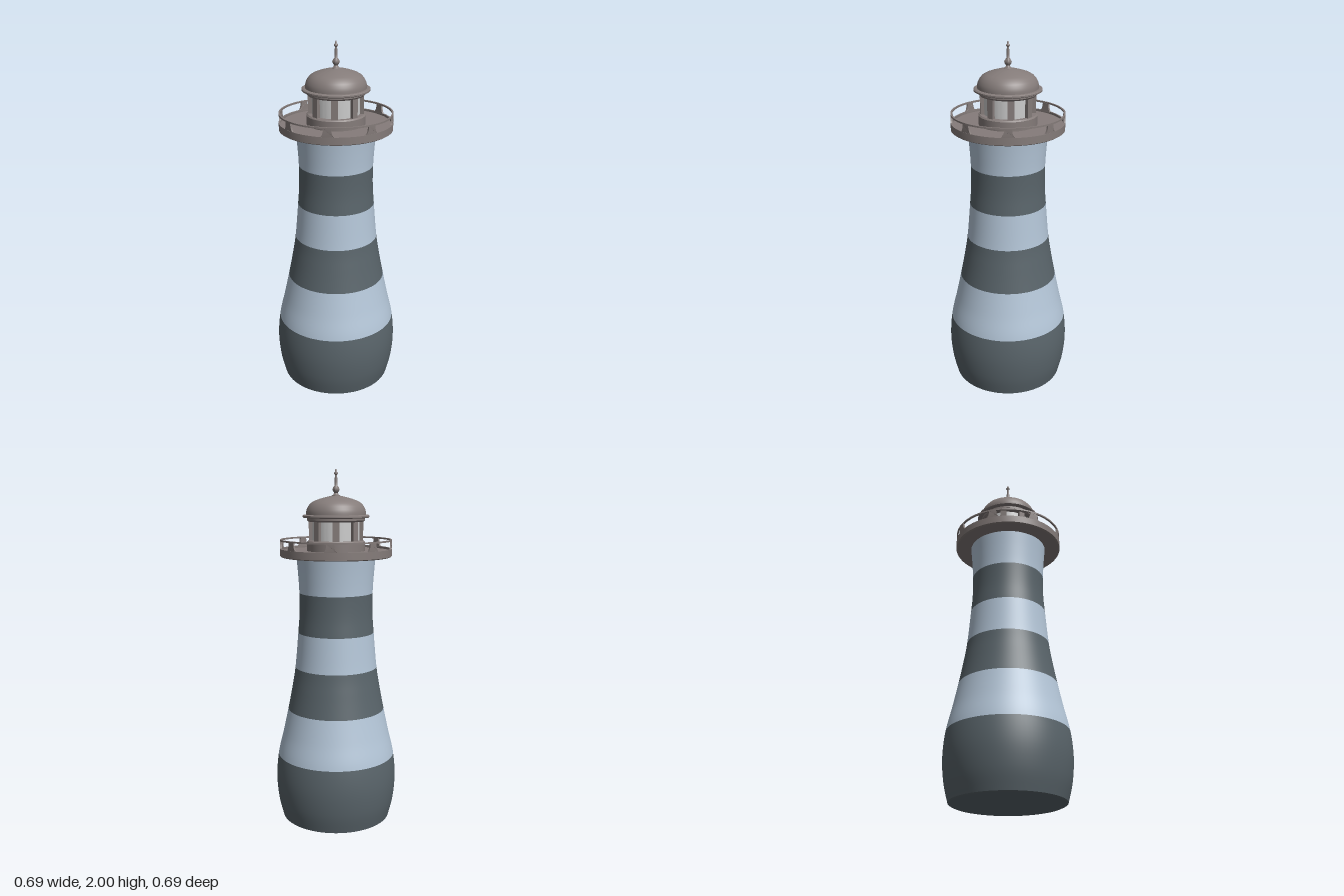
import * as THREE from 'three';
import { toCreasedNormals } from 'three/addons/utils/BufferGeometryUtils.js';

const paint = (color, side = THREE.FrontSide) => new THREE.MeshStandardMaterial({ color, side });
const dark = paint(0x59646a);
const light = paint(0xb4c6d8);
const metal = paint(0x857c7a);
const glass = paint(0xcccccc);

const SEGMENTS = 80;
const pts = (list) => list.map(([r, y]) => new THREE.Vector2(r, y));

// Turned part: profile of [radius, height] listed so that faces point outward
function turned(name, profile, material, crease = 0.5) {
  const geometry = toCreasedNormals(new THREE.LatheGeometry(pts(profile), SEGMENTS), crease);
  const mesh = new THREE.Mesh(geometry, material);
  mesh.name = name;
  return mesh;
}

// Wraps a flat extrusion (x = arc length, z = depth) around the y axis
function wrapped(name, shape, depth, radius, angle, material) {
  let geometry = new THREE.ExtrudeGeometry(shape, { depth, bevelEnabled: false });
  const p = geometry.attributes.position;
  for (let i = 0; i < p.count; i++) {
    const a = angle + p.getX(i) / radius;
    const r = radius - depth + p.getZ(i);
    p.setXYZ(i, r * Math.sin(a), p.getY(i), r * Math.cos(a));
  }
  geometry = toCreasedNormals(geometry, 0.4);
  const mesh = new THREE.Mesh(geometry, material);
  mesh.name = name;
  return mesh;
}

function createTower() {
  const tower = new THREE.Group();
  tower.name = 'tower';
  // Control points; indices in "edges" are the stripe borders
  const outline = new THREE.SplineCurve(pts([
    [0.312, 0.012], [0.337, 0.12], [0.347, 0.25], [0.335, 0.385], [0.304, 0.52], [0.275, 0.655],
    [0.251, 0.78], [0.232, 0.9], [0.214, 1.1], [0.206, 1.21], [0.206, 1.325], [0.212, 1.43], [0.221, 1.53],
  ]));
  const edges = [0, 3, 5, 7, 8, 10, 12];
  const last = outline.points.length - 1;
  for (let band = 0; band < 6; band++) {
    const profile = [];
    for (let i = 0; i <= 14; i++) {
      const t = (edges[band] + (edges[band + 1] - edges[band]) * i / 14) / last;
      const v = outline.getPoint(t);
      profile.push([v.x, v.y]);
    }
    tower.add(turned('stripe' + (band + 1), profile, band % 2 ? light : dark));
  }
  // Slightly domed underside
  tower.add(turned('towerUnderside', [[0, 0], [0.12, 0], [0.3, 0.006], [0.312, 0.012]], dark));
  return tower;
}

function createGallery() {
  const gallery = new THREE.Group();
  gallery.name = 'gallery';
  // Deck with a low raised rim
  gallery.add(turned('deck', [
    [0, 1.525], [0.302, 1.525], [0.31, 1.53], [0.31, 1.57], [0.301, 1.57], [0.301, 1.558], [0, 1.558],
  ], metal));
  gallery.add(turned('handrail', [
    [0.301, 1.612], [0.31, 1.612], [0.31, 1.621], [0.301, 1.621], [0.301, 1.612],
  ], metal));

  // Flared railing posts
  const post = new THREE.Shape();
  post.moveTo(-0.04, 1.565);
  post.lineTo(0.04, 1.565);
  post.quadraticCurveTo(0.022, 1.578, 0.02, 1.615);
  post.lineTo(-0.02, 1.615);
  post.quadraticCurveTo(-0.022, 1.578, -0.04, 1.565);
  for (let i = 0; i < 8; i++) {
    const angle = -0.1 + i * Math.PI / 4;
    gallery.add(wrapped('railingPost' + (i + 1), post, 0.01, 0.31, angle, metal));
  }
  return gallery;
}

function createLantern() {
  const lantern = new THREE.Group();
  lantern.name = 'lanternRoom';
  lantern.add(turned('lanternBase', [
    [0.16, 1.555], [0.16, 1.608], [0.153, 1.615], [0.12, 1.615],
  ], metal));
  lantern.add(turned('glazing', [[0.13, 1.61], [0.13, 1.73]], glass));
  lantern.add(turned('lanternHeader', [
    [0.125, 1.718], [0.153, 1.718], [0.16, 1.726], [0.16, 1.745],
  ], metal));

  // Pillars between the eight windows
  const pillar = new THREE.Shape();
  pillar.moveTo(-0.018, 1.61);
  pillar.lineTo(0.018, 1.61);
  pillar.lineTo(0.018, 1.722);
  pillar.lineTo(-0.018, 1.722);
  pillar.closePath();
  for (let i = 0; i < 8; i++) {
    lantern.add(wrapped('windowPillar' + (i + 1), pillar, 0.024, 0.151, i * Math.PI / 4, metal));
  }
  return lantern;
}

function createRoof() {
  const roof = new THREE.Group();
  roof.name = 'roof';
  roof.add(turned('eave', [
    [0.12, 1.738], [0.178, 1.738], [0.184, 1.742], [0.184, 1.75], [0.178, 1.754], [0.15, 1.756],
  ], metal));
  roof.add(turned('dome', [
    [0.165, 1.752], [0.165, 1.768], [0.161, 1.784], [0.152, 1.802], [0.138, 1.818],
    [0.118, 1.83], [0.09, 1.84], [0.055, 1.85], [0.02, 1.857], [0, 1.859],
  ], metal));
  roof.add(turned('finial', [
    [0.024, 1.85], [0.024, 1.857], [0.014, 1.864], [0.01, 1.872], [0.016, 1.88], [0.02, 1.89],
    [0.016, 1.901], [0.009, 1.91], [0.008, 1.93], [0.006, 1.968], [0.011, 1.973], [0.011, 1.979],
    [0.006, 1.984], [0.004, 1.995], [0, 2],
  ], metal, 0.8));
  return roof;
}

export function createModel() {
  const model = new THREE.Group();
  model.name = 'lighthouse';
  model.add(createTower(), createGallery(), createLantern(), createRoof());
  return model;
}
